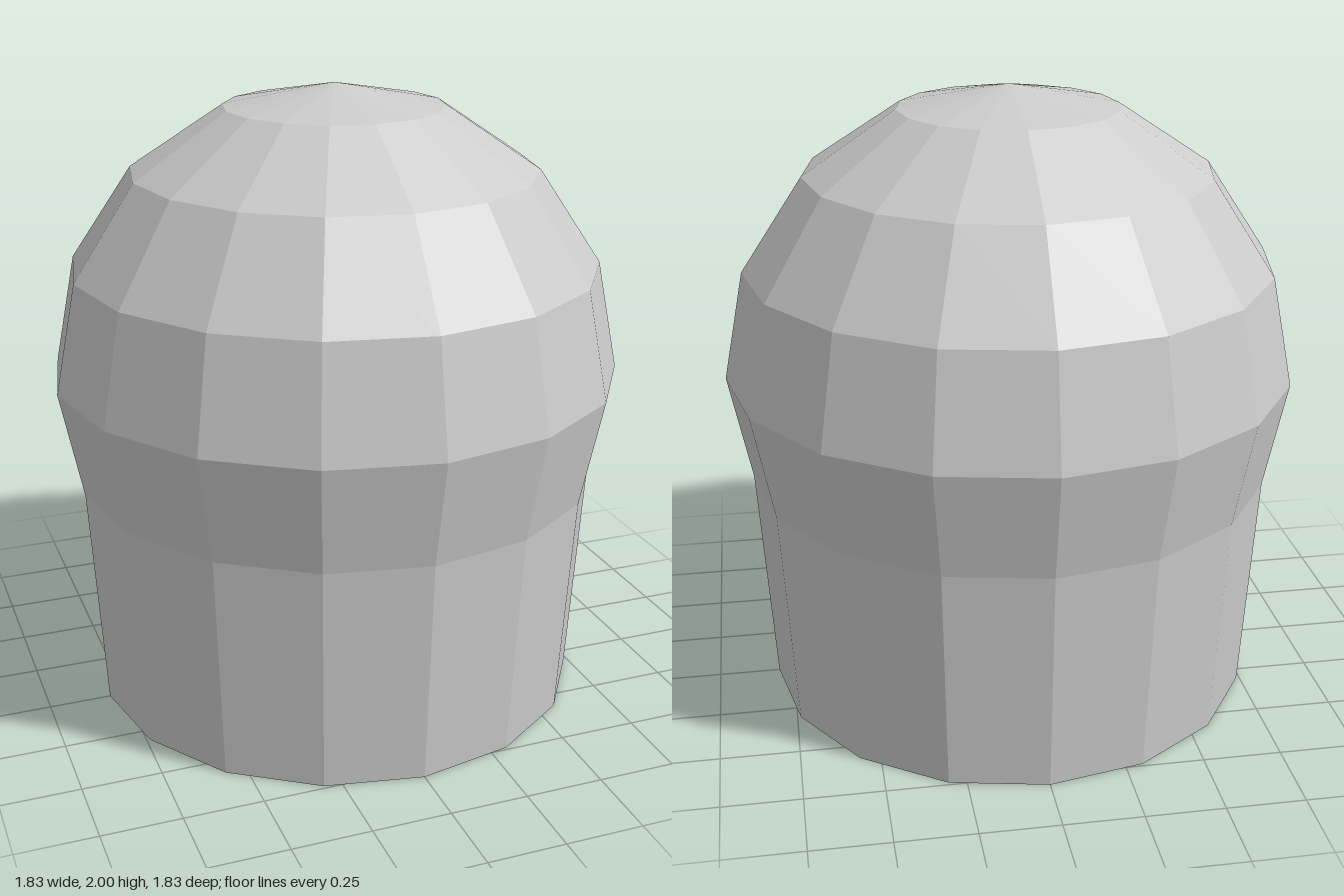
import * as THREE from 'three';

export function createModel() {
  const group = new THREE.Group();
  group.name = 'domedCap';
  const sides = 16, radius = 0.913, centreY = 2 - radius;

  // Profile from the open rim, up the tapered skirt, then over the round dome
  const profile = [new THREE.Vector2(0.8, 0)];
  for (let i = 5; i >= 0; i--) {
    const a = (i * Math.PI) / 8;
    profile.push(new THREE.Vector2(radius * Math.sin(a), centreY + radius * Math.cos(a)));
  }

  // Thin faceted shell, open underneath
  const shell = new THREE.Mesh(
    new THREE.LatheGeometry(profile, sides),
    new THREE.MeshStandardMaterial({ color: 0xcccccc, flatShading: true, side: THREE.DoubleSide })
  );
  shell.name = 'shell';
  group.add(shell);
  return group;
}
